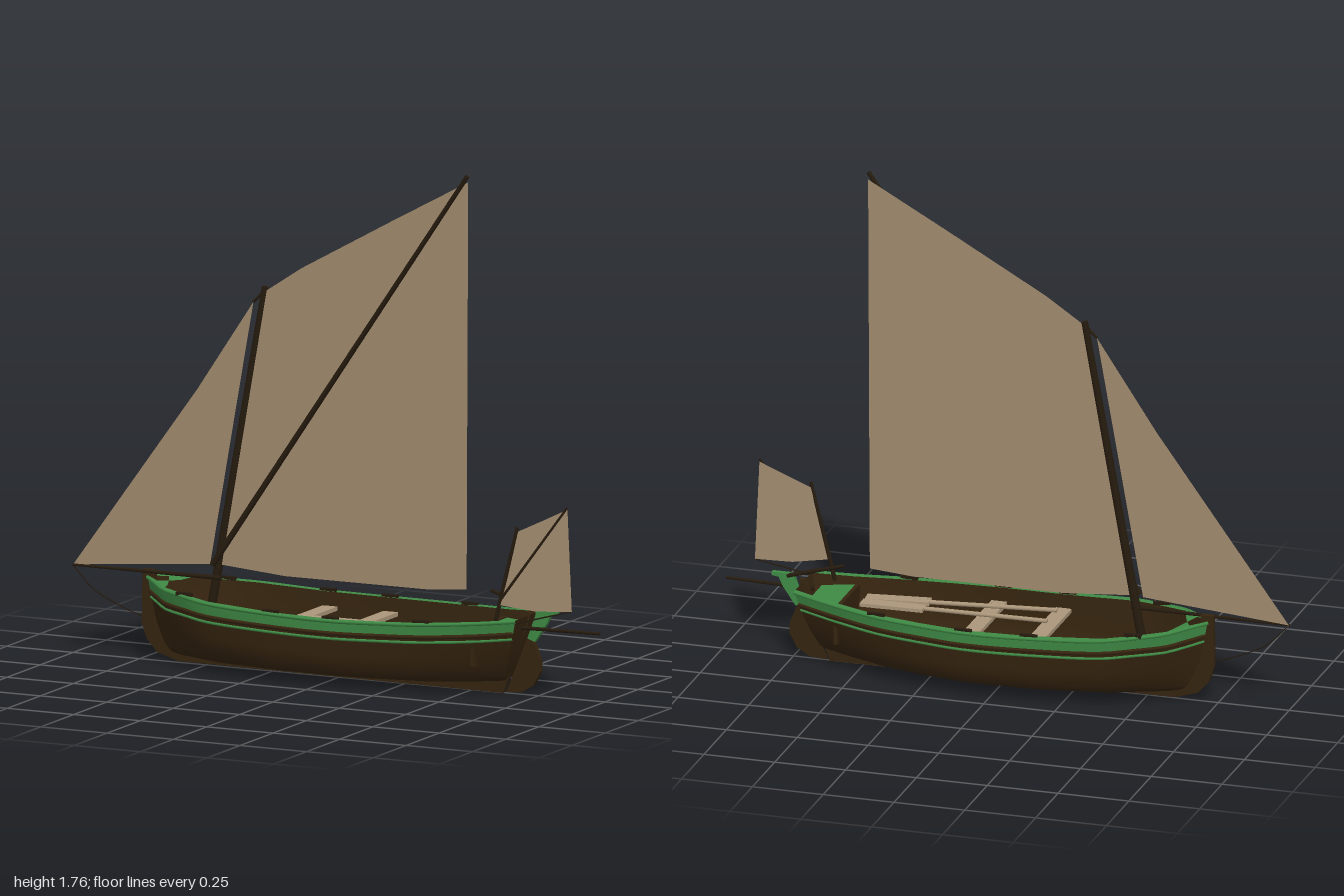
import * as THREE from 'three';

const mat = (name, color, side = THREE.FrontSide) => {
  const m = new THREE.MeshStandardMaterial({ color, side });
  m.name = name;
  return m;
};

export function createModel() {
  const boat = new THREE.Group();
  boat.name = 'sailingBoat';
  const brown = mat('darkPlanking', 0x35240f, THREE.DoubleSide);
  const green = mat('greenPaint', 0x3f8a45, THREE.DoubleSide);
  const spars = mat('darkSpar', 0x261b0e);
  const canvas = mat('tanCanvas', 0xa08a6e, THREE.DoubleSide);
  const wood = mat('paleWood', 0xab967a);

  const add = (name, geo, material, parent = boat) => {
    const mesh = new THREE.Mesh(geo, material);
    mesh.name = name;
    parent.add(mesh);
    return mesh;
  };
  const V = (x, y, z) => new THREE.Vector3(x, y, z);
  // Tapered round pole between two points
  const spar = (name, a, b, r0, r1, material = spars) => {
    const d = b.clone().sub(a);
    const m = add(name, new THREE.CylinderGeometry(r1, r0, d.length(), 8), material);
    m.position.copy(a).add(b).multiplyScalar(0.5);
    m.quaternion.setFromUnitVectors(V(0, 1, 0), d.normalize());
    return m;
  };
  const tube = (name, pts, r, material, n = 40) =>
    add(name, new THREE.TubeGeometry(new THREE.CatmullRomCurve3(pts), n, r, 6), material);
  const box = (name, w, h, d, x, y, z, material) => {
    const m = add(name, new THREE.BoxGeometry(w, h, d), material);
    m.position.set(x, y, z);
    return m;
  };
  // Surface through fn(i, j) on an nu by nv lattice
  const grid = (nu, nv, fn) => {
    const pos = [], idx = [];
    for (let i = 0; i <= nu; i++) for (let j = 0; j <= nv; j++) pos.push(...fn(i, j).toArray());
    for (let i = 0; i < nu; i++) for (let j = 0; j < nv; j++) {
      const a = i * (nv + 1) + j, b = a + nv + 1;
      idx.push(a, b, a + 1, b, b + 1, a + 1);
    }
    const g = new THREE.BufferGeometry();
    g.setAttribute('position', new THREE.Float32BufferAttribute(pos, 3));
    g.setIndex(idx);
    g.computeVertexNormals();
    return g;
  };
  const slab = (name, pts, thickness, material) => {
    const shape = new THREE.Shape(pts.map(p => new THREE.Vector2(...p)));
    const g = new THREE.ExtrudeGeometry(shape, { depth: thickness, bevelEnabled: false });
    g.translate(0, 0, -thickness / 2);
    return add(name, g, material);
  };

  // Hull stations: x at sheer, x at keel, half width, sheer y, bottom y, fullness
  const stations = [
    [-0.715, -0.655, 0.010, 0.288, 0.05, 0],
    [-0.665, -0.62, 0.060, 0.283, 0.03, 0.1],
    [-0.60, -0.58, 0.125, 0.275, 0.025, 0.3],
    [-0.50, -0.49, 0.172, 0.266, 0.025, 0.55],
    [-0.40, -0.40, 0.210, 0.258, 0.025, 0.8],
    [-0.15, -0.15, 0.228, 0.246, 0.025, 1],
    [0.08, 0.08, 0.235, 0.243, 0.025, 1],
    [0.25, 0.24, 0.218, 0.246, 0.025, 0.9],
    [0.40, 0.38, 0.195, 0.250, 0.025, 0.75],
    [0.58, 0.52, 0.145, 0.260, 0.03, 0.45],
    [0.715, 0.625, 0.105, 0.272, 0.04, 0.15]
  ];
  const heights = [0, 0.04, 0.11, 0.33, 0.57, 0.79, 1];
  const full = [0, 0.6, 0.83, 0.94, 0.965, 0.985, 1];
  const vee = [0, 0.15, 0.28, 0.54, 0.75, 0.89, 1];
  const last = stations.length - 1;
  const at = (arr, v) => {
    const k = Math.min(Math.floor(v), arr.length - 2);
    return THREE.MathUtils.lerp(arr[k], arr[k + 1], v - k);
  };
  const hull = (s, v, side, inset = 0) => {
    const [xt, xb, w, top, bottom, f] = stations[s];
    const h = at(heights, v), low = bottom + inset;
    const z = Math.max(w - inset, 0.002) * THREE.MathUtils.lerp(at(vee, v), at(full, v), f);
    return V(THREE.MathUtils.lerp(xb, xt, Math.pow(h, 0.7)), low + (top - low) * h, side * z);
  };
  const along = (v, side, out = 0, lift = 0) =>
    stations.map((_, s) => hull(s, v, side, -out).add(V(0, lift, 0)));

  for (const side of [-1, 1]) {
    const n = side > 0 ? 'left' : 'right';
    add(n + 'Planking', grid(last, 10, (s, j) => hull(s, j / 2, side)), brown);
    add(n + 'TopStrake', grid(last, 2, (s, j) => hull(s, 5 + j / 2, side)), green);
    add(n + 'InnerLining', grid(last, 12, (s, j) => hull(s, j / 2, side, 0.014)), brown);
    add(n + 'RailCap', grid(last, 1, (s, j) => hull(s, 6, side, j ? 0.018 : -0.003)), green);
    tube(n + 'Gunwale', along(6, side, 0, -0.004), 0.007, green);
    tube(n + 'RubRail', along(5, side, 0.002), 0.007, brown);
    tube(n + 'LowerStripe', along(4.6, side), 0.005, green);
    // Thole blocks on the rail
    for (const s of [3, 5, 6, 8]) {
      const p = hull(s, 6, side, 0.008);
      box(n + 'TholeBlock', 0.06, 0.012, 0.012, p.x, p.y + 0.004, p.z, spars);
    }
    // Bow knee
    const knee = [hull(1, 6, side, 0.01), hull(2, 6, side, 0.012), V(-0.62, 0.272, side * 0.05), V(-0.64, 0.277, 0)];
    add(n + 'BowKnee', grid(1, 1, (i, j) => (i ? [knee[3], knee[2]] : [knee[0], knee[1]])[j]), green);
  }
  add('transom', grid(12, 2, (i, j) => {
    const p = hull(last, i / 2, 1);
    return V(p.x, p.y, p.z * (j - 1));
  }), brown);

  // Keel, stem and sternpost in one backbone
  slab('keelAndStem', [
    [-0.69, 0.31], [-0.735, 0.31], [-0.738, 0.13], [-0.72, 0.075], [-0.68, 0.03], [-0.6, 0.006],
    [0.62, 0], [0.728, 0.28], [0.708, 0.28], [0.61, 0.04], [-0.58, 0.04], [-0.65, 0.07], [-0.69, 0.15]
  ], 0.018, brown);

  // Rudder with painted head and tiller
  slab('rudderBlade', [
    [0.632, 0.004], [0.69, 0.008], [0.735, 0.035], [0.762, 0.085], [0.76, 0.125], [0.735, 0.185], [0.715, 0.205]
  ], 0.016, brown);
  slab('rudderHead', [
    [0.712, 0.195], [0.74, 0.185], [0.785, 0.25], [0.80, 0.282], [0.825, 0.285], [0.825, 0.297], [0.745, 0.297], [0.742, 0.275]
  ], 0.018, green);
  spar('tiller', V(0.57, 0.345, -0.005), V(0.77, 0.288, -0.005), 0.006, 0.008);

  // Stern deck and its bulkhead
  const deck = [[0.568, 0.128], [0.678, 0.092], [0.678, -0.092], [0.568, -0.128]];
  const deckMesh = slab('sternDeck', deck, 0.012, green);
  deckMesh.rotation.x = -Math.PI / 2;
  deckMesh.position.y = 0.225;
  box('sternBulkhead', 0.014, 0.13, 0.25, 0.562, 0.17, 0, brown);

  // Rowing benches
  for (const x of [-0.138, 0.09]) box('thwart', 0.055, 0.014, 0.42, x, 0.19, 0, wood);

  // Stowed oars
  for (const [z0, z1] of [[0.05, 0.04], [0.16, 0.1]]) {
    const a = V(-0.13, 0.206, z0), b = V(0.34, 0.206, z1);
    spar('oarShaft', a, b, 0.008, 0.008, wood);
    const blade = box('oarBlade', 0.22, 0.012, 0.05, 0.41, 0.206, z1 - 0.005, wood);
    blade.rotation.y = Math.atan2(z0 - z1, 0.47);
  }

  // Spars
  spar('mainMast', V(-0.505, 0.06, 0), V(-0.278, 1.315, 0), 0.017, 0.012);
  spar('mainSprit', V(-0.465, 0.35, 0.022), V(0.49, 1.76, 0.016), 0.011, 0.008);
  spar('bowsprit', V(-1, 0.303, 0.008), V(-0.44, 0.305, 0.012), 0.004, 0.008);
  spar('mizzenMast', V(0.635, 0.25, 0.1), V(0.72, 0.592, 0.1), 0.008, 0.006);
  spar('mizzenSprit', V(0.662, 0.34, 0.112), V(0.892, 0.667, 0.07), 0.005, 0.004);
  spar('sternOutrigger', V(0.69, 0.235, 0.035), V(1, 0.24, 0.04), 0.007, 0.005);
  spar('mizzenBoom', V(0.69, 0.255, 0.1), V(0.9, 0.31, 0.058), 0.003, 0.002);

  // Sails
  const sail = (name, pts) => add(name,
    new THREE.ShapeGeometry(new THREE.Shape(pts.map(p => new THREE.Vector2(...p)))), canvas);
  sail('mainSail', [
    [-0.45, 0.35], [-0.2, 0.33], [0.33, 0.33], [0.482, 0.342], [0.488, 1.738],
    [0.2, 1.58], [-0.14, 1.39], [-0.275, 1.30]
  ]).position.z = 0.005;
  sail('jib', [
    [-0.998, 0.303], [-0.483, 0.347], [-0.32, 1.26], [-0.53, 0.945]
  ]).position.z = 0.004;
  const mizzen = sail('mizzenSail', [
    [0.658, 0.32], [0.78, 0.305], [0.905, 0.31], [0.89, 0.66], [0.80, 0.615], [0.718, 0.575]
  ]);
  const mp = mizzen.geometry.attributes.position;
  for (let i = 0; i < mp.count; i++) mp.setZ(i, 0.104 - (mp.getX(i) - 0.66) * 0.18);
  mizzen.geometry.computeVertexNormals();

  // Rigging
  tube('bobstay', [V(-0.995, 0.3, 0.008), V(-0.92, 0.225, 0.005), V(-0.82, 0.175, 0.002), V(-0.735, 0.145, 0)], 0.002, spars, 16);
  spar('jibHalyard', V(-0.32, 1.26, 0.004), V(-0.28, 1.3, 0.002), 0.005, 0.005);
  return boat;
}
